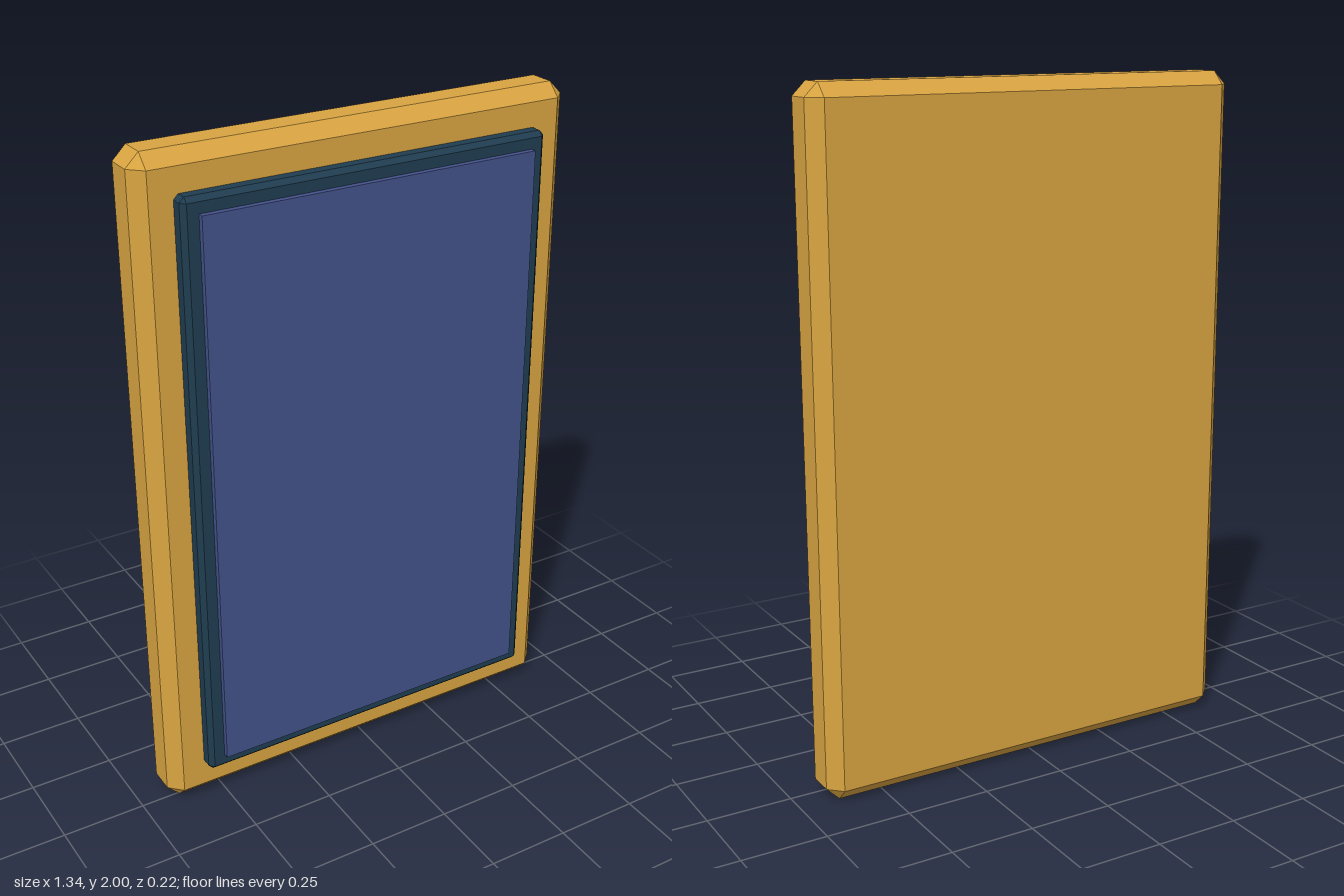
import * as THREE from 'three';
import { ConvexGeometry } from 'three/addons/geometries/ConvexGeometry.js';

// Box with every edge bevelled flat and a small triangle at each corner
function chamferedBox(w, h, d, c) {
  const points = [];
  for (const sx of [-1, 1]) for (const sy of [-1, 1]) for (const sz of [-1, 1]) {
    const x = w / 2, y = h / 2, z = d / 2;
    points.push(
      new THREE.Vector3(sx * x, sy * (y - c), sz * (z - c)),
      new THREE.Vector3(sx * (x - c), sy * y, sz * (z - c)),
      new THREE.Vector3(sx * (x - c), sy * (y - c), sz * z)
    );
  }
  return new ConvexGeometry(points);
}

export function createModel() {
  const group = new THREE.Group();

  const addPart = (name, geometry, color, z) => {
    const material = new THREE.MeshStandardMaterial({ color, flatShading: true });
    const mesh = new THREE.Mesh(geometry, material);
    mesh.name = name;
    mesh.position.set(0, 1, z);
    group.add(mesh);
  };

  // Thick bevelled backing board
  addPart('frame', chamferedBox(1.34, 2, 0.155, 0.039), 0xd9a441, -0.0325);
  // Dark raised surround, partly sunk into the board
  addPart('bezel', chamferedBox(1.124, 1.778, 0.09, 0.014), 0x1f3d50, 0.045);
  // Thin flat panel standing proud of the surround
  addPart('panel', new THREE.BoxGeometry(1.03, 1.686, 0.036), 0x43528b, 0.089);

  return group;
}
